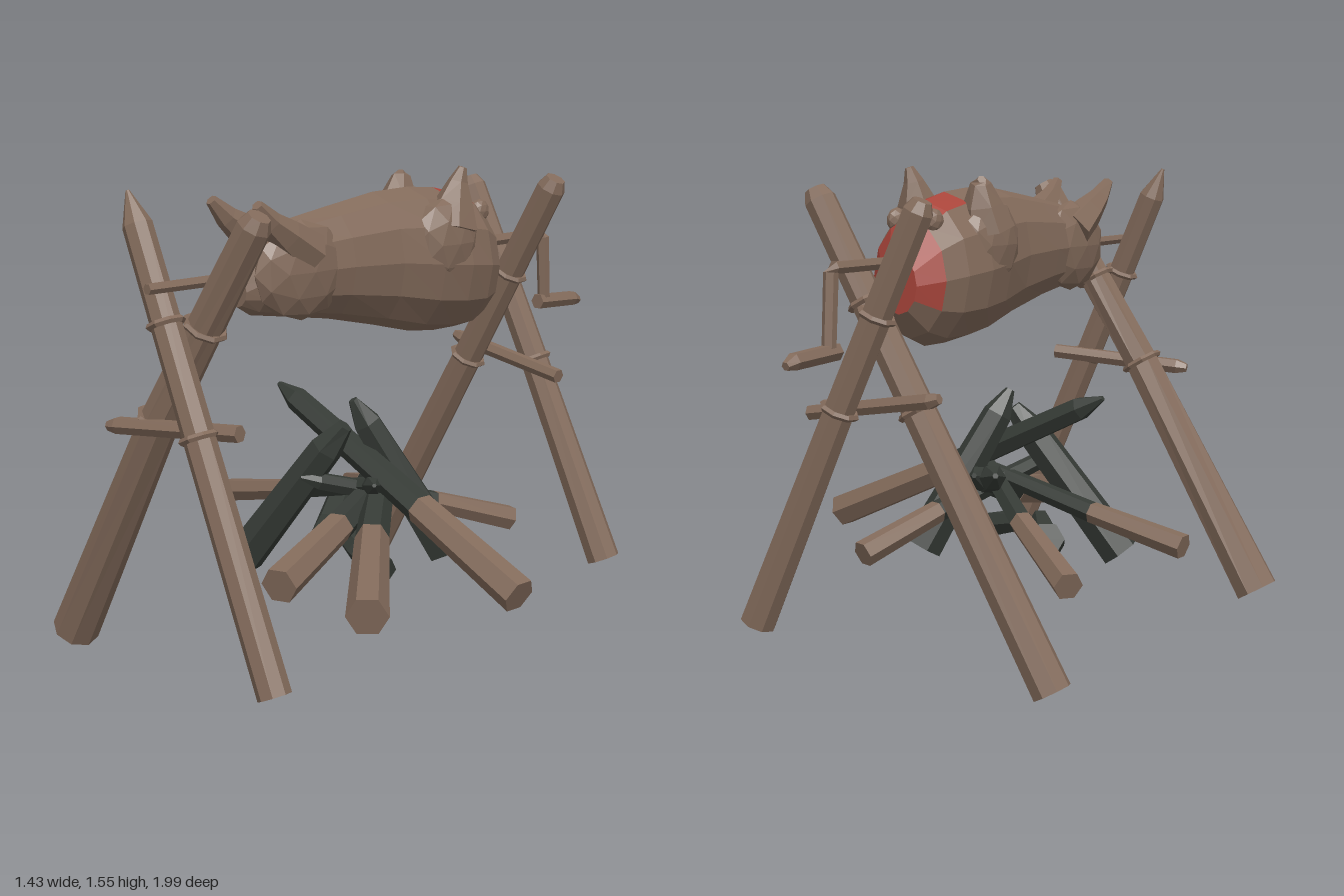
import * as THREE from 'three';

const wood = new THREE.MeshStandardMaterial({ color: 0x836b5b, flatShading: true });
wood.name = 'brown';
const char = new THREE.MeshStandardMaterial({ color: 0x363b36, flatShading: true });
char.name = 'charcoal';
const red = new THREE.MeshStandardMaterial({ color: 0xa8443a, flatShading: true });
red.name = 'raw red';

const V = (p) => new THREE.Vector3(...p);

// Skin a list of point rings, closing both ends with fans; isAccent picks faces for material 1
function loft(rings, isAccent = () => false) {
  const faces = [[], []];
  const tri = (a, b, c) => {
    const mid = a.clone().add(b).add(c).divideScalar(3);
    faces[isAccent(mid) ? 1 : 0].push(...a, ...b, ...c);
  };
  const n = rings[0].length;
  const center = (r) => r.reduce((s, p) => s.add(p), new THREE.Vector3()).divideScalar(n);
  const last = rings[rings.length - 1];
  const c0 = center(rings[0]), c1 = center(last);
  for (let j = 0; j < n; j++) {
    const k = (j + 1) % n;
    tri(c0, rings[0][k], rings[0][j]);
    for (let i = 0; i < rings.length - 1; i++) {
      const [r, s] = [rings[i], rings[i + 1]];
      tri(r[j], r[k], s[k]);
      tri(r[j], s[k], s[j]);
    }
    tri(c1, last[j], last[k]);
  }
  const g = new THREE.BufferGeometry();
  g.setAttribute('position', new THREE.Float32BufferAttribute(faces.flat(), 3));
  g.addGroup(0, faces[0].length / 3, 0);
  g.addGroup(faces[0].length / 3, faces[1].length / 3, 1);
  g.computeVertexNormals();
  return g;
}

// Faceted stick through points, with one radius per point
function stick(name, points, radii, mat = wood, sides = 6) {
  const pts = points.map(V);
  const rings = pts.map((p, i) => {
    const d = pts[Math.min(i + 1, pts.length - 1)].clone().sub(pts[Math.max(i - 1, 0)]).normalize();
    const ref = Math.abs(d.y) > 0.95 ? V([1, 0, 0]) : V([0, 1, 0]);
    const u = ref.cross(d).normalize();
    const v = d.clone().cross(u);
    return Array.from({ length: sides }, (_, j) => {
      const a = (j / sides) * Math.PI * 2;
      return p.clone().addScaledVector(u, Math.cos(a) * radii[i]).addScaledVector(v, Math.sin(a) * radii[i]);
    });
  });
  const mesh = new THREE.Mesh(loft(rings), mat);
  mesh.name = name;
  return mesh;
}

const mix = (a, b, t) => a.map((v, i) => v + (b[i] - v) * t);

// Support pole: foot, bend at mid height, top; rope rings at the bend and partway up the upper half
function pole(name, foot, bend, top, [r0, r1, r2, tip], lash) {
  const g = new THREE.Group();
  g.name = name;
  const neck = mix(bend, top, tip < 0.01 ? 0.86 : 0.95);
  g.add(stick('poleShaft', [foot, bend, neck, top], [r0, r1, r2, tip], wood, 8));
  const dir = V(top).sub(V(foot)).normalize();
  for (const t of [0, lash]) {
    const ring = new THREE.Mesh(new THREE.TorusGeometry(r1 + (r2 - r1) * t + 0.004, 0.011, 5, 8), wood);
    ring.name = 'lashing';
    ring.position.copy(V(mix(bend, top, t)));
    ring.quaternion.setFromUnitVectors(V([0, 0, 1]), dir);
    g.add(ring);
  }
  return g;
}

// Log with a plain outer end and a burnt inner part
function burntLog(end, joint, tip, r) {
  const g = new THREE.Group();
  g.name = 'burntLog';
  g.add(stick('plainEnd', [end, joint], [r, r * 0.85]));
  g.add(stick('burntEnd', [joint, mix(joint, tip, 0.87), tip], [r * 0.84, r * 0.68, r * 0.15], char));
  return g;
}

function carcass() {
  const g = new THREE.Group();
  g.name = 'carcass';
  // z, bottom, top, half width
  const sections = [
    [0.65, 1.18, 1.28, 0.045], [0.60, 1.15, 1.37, 0.09], [0.47, 1.13, 1.425, 0.12],
    [0.28, 1.10, 1.455, 0.135], [0.08, 1.055, 1.485, 0.15], [-0.08, 1.015, 1.49, 0.18],
    [-0.2, 1.0, 1.48, 0.19], [-0.31, 1.0, 1.455, 0.175], [-0.385, 1.03, 1.4, 0.14], [-0.445, 1.11, 1.29, 0.07],
  ];
  const rings = sections.map(([z, lo, hi, w]) => Array.from({ length: 12 }, (_, j) => {
    const a = (j / 12) * Math.PI * 2;
    return V([Math.cos(a) * w, (lo + hi) / 2 - Math.sin(a) * (hi - lo) / 2, z]);
  }));
  // Open cut on the upper rump and the rear end
  const raw = (p) => (p.z < -0.22 && p.y > 1.39 && Math.abs(p.x) < 0.1) || (p.z < -0.39 && p.y > 1.13);
  const body = new THREE.Mesh(loft(rings, raw), [wood, red]);
  body.name = 'body';
  g.add(body);
  // Haunches, shoulders and upturned legs
  for (const s of [-1, 1]) {
    const joint = (name, pos, size) => {
      const m = new THREE.Mesh(new THREE.IcosahedronGeometry(1, 1), wood);
      m.name = name;
      m.position.set(...pos);
      m.scale.set(...size);
      g.add(m);
    };
    joint('shoulder', [s * 0.072, 1.28, 0.455], [0.068, 0.155, 0.185]);
    joint('haunch', [s * 0.125, 1.315, -0.13], [0.07, 0.15, 0.14]);
    joint('rumpLobe', [s * 0.07, 1.395, -0.355], [0.028, 0.04, 0.04]);
    g.add(stick('foreleg', [[s * 0.085, 1.33, 0.44], [s * 0.095, 1.395, 0.535], [s * 0.1, 1.44, 0.6], [s * 0.105, 1.495, 0.655]],
      [0.075, 0.055, 0.037, 0.018]));
    const h = s > 0 ? 1.555 : 1.52;
    g.add(stick('hindLeg', [[s * 0.13, 1.36, -0.15], [s * 0.125, 1.44, -0.17], [s * 0.13, 1.51, -0.185], [s * 0.14, h, -0.195]],
      [0.09, 0.065, 0.033, 0.014]));
  }
  const mouth = new THREE.Mesh(new THREE.CylinderGeometry(0.025, 0.025, 0.006, 8), red);
  mouth.name = 'spitWound';
  mouth.rotation.x = Math.PI / 2;
  mouth.position.set(0.005, 1.235, 0.652);
  g.add(mouth);
  return g;
}

export function createModel() {
  const model = new THREE.Group();
  model.name = 'spitRoast';

  // Crossed support poles
  model.add(
    pole('frontPoleLeft', [0.43, 0.13, 0.9], [0.115, 0.84, 0.9], [-0.19, 1.535, 0.9], [0.052, 0.049, 0.046, 0.006], 0.46),
    pole('frontPoleRight', [-0.625, 0.05, 0.845], [-0.15, 0.84, 0.835], [0.225, 1.48, 0.75], [0.077, 0.062, 0.053, 0.036], 0.47),
    pole('backPoleRight', [-0.61, 0.035, -0.52], [-0.16, 0.84, -0.56], [0.2, 1.495, -0.595], [0.062, 0.054, 0.05, 0.034], 0.49),
    pole('backPoleLeft', [0.335, 0.15, -0.74], [0.04, 0.84, -0.69], [-0.235, 1.47, -0.64], [0.058, 0.05, 0.048, 0.03], 0.46),
  );

  // Cross bars
  model.add(
    stick('frontCrossBar', [[-0.285, 0.815, 0.93], [-0.25, 0.82, 0.92], [0.21, 0.855, 0.825]], [0.016, 0.028, 0.027]),
    stick('backCrossBar', [[-0.285, 0.895, -0.63], [-0.25, 0.885, -0.63], [0.21, 0.81, -0.62]], [0.016, 0.026, 0.025]),
  );

  // Spit with crank handle
  model.add(
    stick('spit', [[0.015, 1.275, 0.995], [0, 1.27, 0.2], [-0.01, 1.275, -0.77], [-0.01, 1.262, -0.784],
      [-0.012, 1.04, -0.8]], [0.017, 0.02, 0.02, 0.023, 0.022]),
    stick('crankHandle', [[-0.012, 1.03, -0.765], [-0.012, 1.02, -0.96], [-0.012, 1.01, -0.995]], [0.028, 0.027, 0.014]),
  );

  model.add(carcass());

  // Camp fire
  const fire = new THREE.Group();
  fire.name = 'campFire';
  const logs = [
    [[0.69, 0.31, 0.135], [0.26, 0.5, 0.125], [-0.39, 0.81, 0.14], 0.06],
    [[-0.71, 0.365, 0.105], [-0.37, 0.435, 0.11], [0.16, 0.56, 0.13], 0.042],
    [[-0.575, 0.32, -0.375], [-0.25, 0.43, -0.13], [0.15, 0.57, 0.22], 0.047],
    [[0.16, 0.33, -0.43], [0.07, 0.43, -0.14], [-0.09, 0.57, 0.32], 0.044],
    [[0.545, 0.335, 0.64], [0.21, 0.425, 0.29], [-0.15, 0.57, -0.13], 0.065],
    [[0.2, 0.355, 0.675], [0.06, 0.43, 0.29], [-0.06, 0.56, -0.12], 0.06],
  ];
  for (const l of logs) fire.add(burntLog(...l));
  fire.add(
    stick('charredLog', [[-0.345, 0.25, 0.35], [-0.055, 0.66, 0.235], [0, 0.74, 0.205]], [0.068, 0.056, 0.028], char),
    stick('charredLog', [[0.165, 0.29, -0.1], [-0.005, 0.73, 0.1], [-0.03, 0.81, 0.14]], [0.068, 0.05, 0.016], char),
    stick('bentCharredLog', [[-0.33, 0.38, -0.1], [-0.23, 0.315, 0.06], [-0.07, 0.345, 0.27]], [0.055, 0.056, 0.035], char),
    stick('bentCharredLog', [[0.19, 0.29, 0.22], [0.05, 0.33, 0.19], [-0.1, 0.365, 0.14]], [0.05, 0.045, 0.03], char),
  );
  model.add(fire);
  return model;
}
